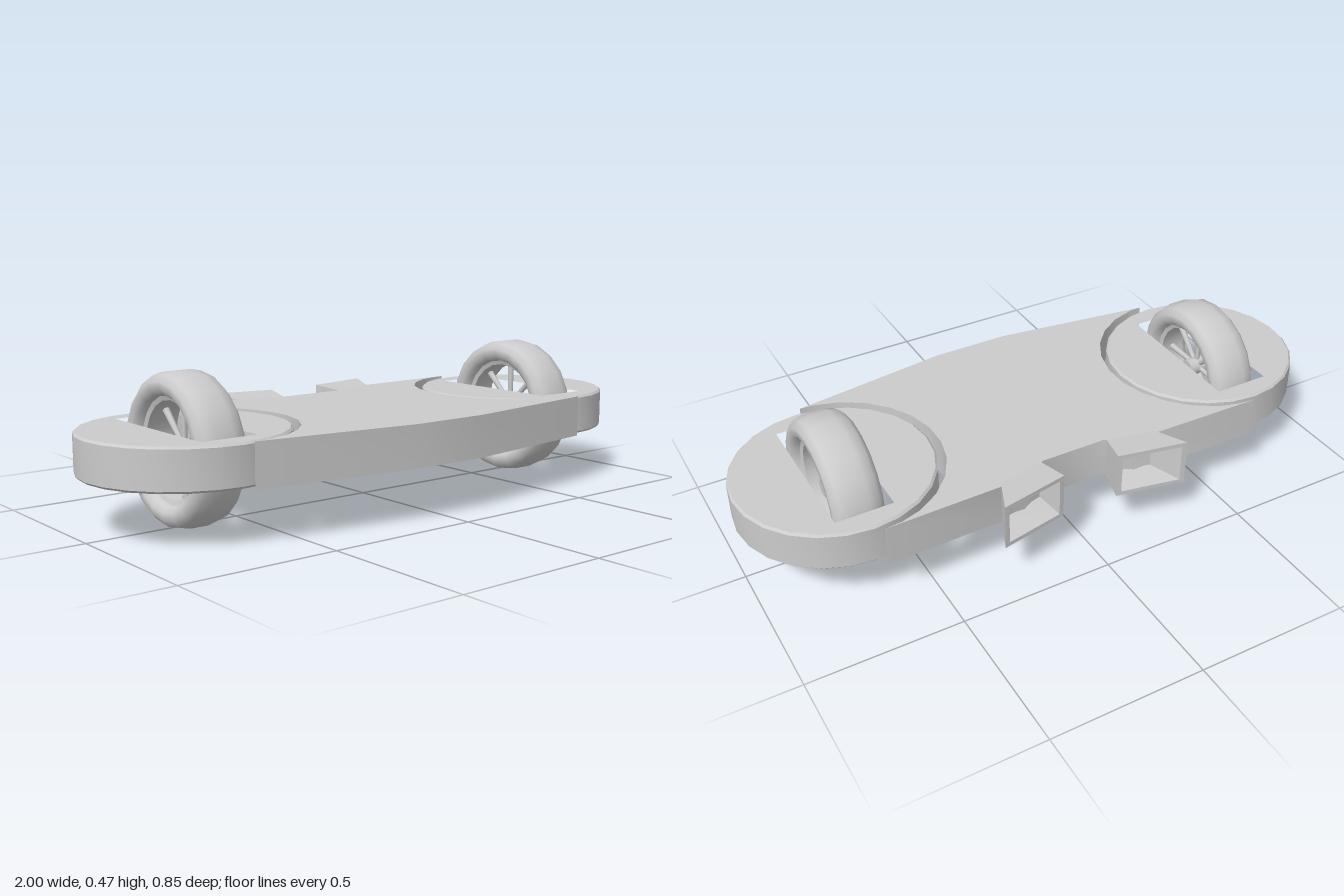
import * as THREE from 'three';
import { toCreasedNormals, mergeGeometries } from 'three/addons/utils/BufferGeometryUtils.js';

const material = new THREE.MeshStandardMaterial({ color: 0xcccccc });
const POD_X = 0.68, POD_Z = 0.005;

function part(name, geometry) {
  const mesh = new THREE.Mesh(geometry, material);
  mesh.name = name;
  return mesh;
}

// Horizontal slab from an [x, z] outline, between two heights
function slab(outline, hole, y0, y1, bevel) {
  const points = (list) => list.map(([x, z]) => new THREE.Vector2(x, -z));
  const shape = new THREE.Shape(points(outline));
  if (hole) shape.holes.push(new THREE.Path(points(hole)));
  const geometry = new THREE.ExtrudeGeometry(shape, {
    depth: y1 - y0 - 2 * bevel, bevelEnabled: bevel > 0, bevelSegments: 1,
    bevelSize: bevel, bevelThickness: bevel, bevelOffset: -bevel,
  });
  geometry.rotateX(-Math.PI / 2).translate(0, y0 + bevel, 0);
  return toCreasedNormals(geometry, 0.5);
}

// Points on a circle around a pod centre
function arc(cx, radius, from, to, count) {
  return Array.from({ length: count }, (_, i) => {
    const a = from + ((to - from) * i) / (count - 1);
    return [cx + radius * Math.cos(a), POD_Z + radius * Math.sin(a)];
  });
}

// Central deck with a concave bay at each end
function deck() {
  const start = THREE.MathUtils.degToRad(100), end = THREE.MathUtils.degToRad(260);
  const bay = arc(POD_X, 0.345, start, end, 12);
  const rightHalf = [[0.13, 0.417], [0.66, 0.346], ...bay, [0.66, -0.335], [0.2, -0.327], [0.11, -0.28]];
  const leftHalf = rightHalf.map(([x, z]) => [-x, z]).reverse();
  return part('deck', slab([...rightHalf, ...leftHalf], null, 0.168, 0.303, 0));
}

// Round pod with a rectangular wheel slot
function pod() {
  const rim = arc(0, 0.32, 0, Math.PI * 2, 25).slice(0, -1);
  const slot = [[-0.1, -0.25], [0.1, -0.25], [0.1, 0.255], [-0.1, 0.255]];
  return part('wheelPod', slab(rim, slot, 0.171, 0.301, 0.007));
}

// Tyre with a rounded tread, hub and eight thin spokes
function wheel() {
  const group = new THREE.Group();
  group.name = 'wheel';
  const half = [[0.233, 0.03], [0.225, 0.062], [0.205, 0.08], [0.182, 0.08], [0.166, 0.066], [0.162, 0.05], [0.148, 0.045]];
  const lower = half.map(([r, x]) => [r, -x]).reverse();
  const profile = [...lower, ...half, lower[0]].map(([r, x]) => new THREE.Vector2(r, x));
  const tyre = new THREE.LatheGeometry(profile, 20).rotateZ(Math.PI / 2);
  group.add(part('tyre', toCreasedNormals(tyre, 0.75)));

  const hub = new THREE.CylinderGeometry(0.03, 0.03, 0.08, 12).rotateZ(Math.PI / 2);
  group.add(part('hub', toCreasedNormals(hub, 0.7)));

  const spokes = [];
  for (let i = 0; i < 8; i++) {
    const rod = new THREE.CylinderGeometry(0.011, 0.008, 0.13, 8).translate(0, 0.08, 0);
    const knob = new THREE.SphereGeometry(0.012, 8, 6).translate(0, 0.143, 0);
    for (const g of [rod, knob]) spokes.push(g.rotateX((i * Math.PI) / 4));
  }
  group.add(part('spokes', mergeGeometries(spokes)));
  return group;
}

// Flared hollow box: base outside, mouth, lip, then inner walls and floor
function exhaust() {
  const loop = (ax, az, bx, bz, y0, y1) => [[ax, y0, az], [bx, y0, bz], [bx, y1, bz], [ax, y1, az]];
  const loops = [
    loop(0.12, -0.272, 0.27, -0.305, 0.172, 0.302),
    loop(0.096, -0.385, 0.322, -0.43, 0.157, 0.313),
    loop(0.112, -0.388, 0.306, -0.427, 0.171, 0.299),
    loop(0.132, -0.3, 0.257, -0.332, 0.185, 0.288),
  ];
  const positions = [];
  const quad = (a, b, c, d) => positions.push(...a, ...b, ...c, ...a, ...c, ...d);
  for (let k = 0; k < 3; k++) {
    for (let i = 0; i < 4; i++) {
      const j = (i + 1) % 4;
      quad(loops[k][i], loops[k + 1][i], loops[k + 1][j], loops[k][j]);
    }
  }
  const [a, b, c, d] = loops[3];
  quad(a, d, c, b);
  const geometry = new THREE.BufferGeometry();
  geometry.setAttribute('position', new THREE.Float32BufferAttribute(positions, 3));
  geometry.computeVertexNormals();
  return part('exhaust', geometry);
}

export function createModel() {
  const model = new THREE.Group();
  model.name = 'hoverBoard';
  model.add(deck());
  for (const side of [1, -1]) {
    const p = pod();
    p.position.set(side * POD_X, 0, POD_Z);
    const w = wheel();
    w.position.set(side * POD_X, 0.235, 0.01);
    const e = exhaust();
    e.scale.x = side;
    model.add(p, w, e);
  }
  return model;
}
